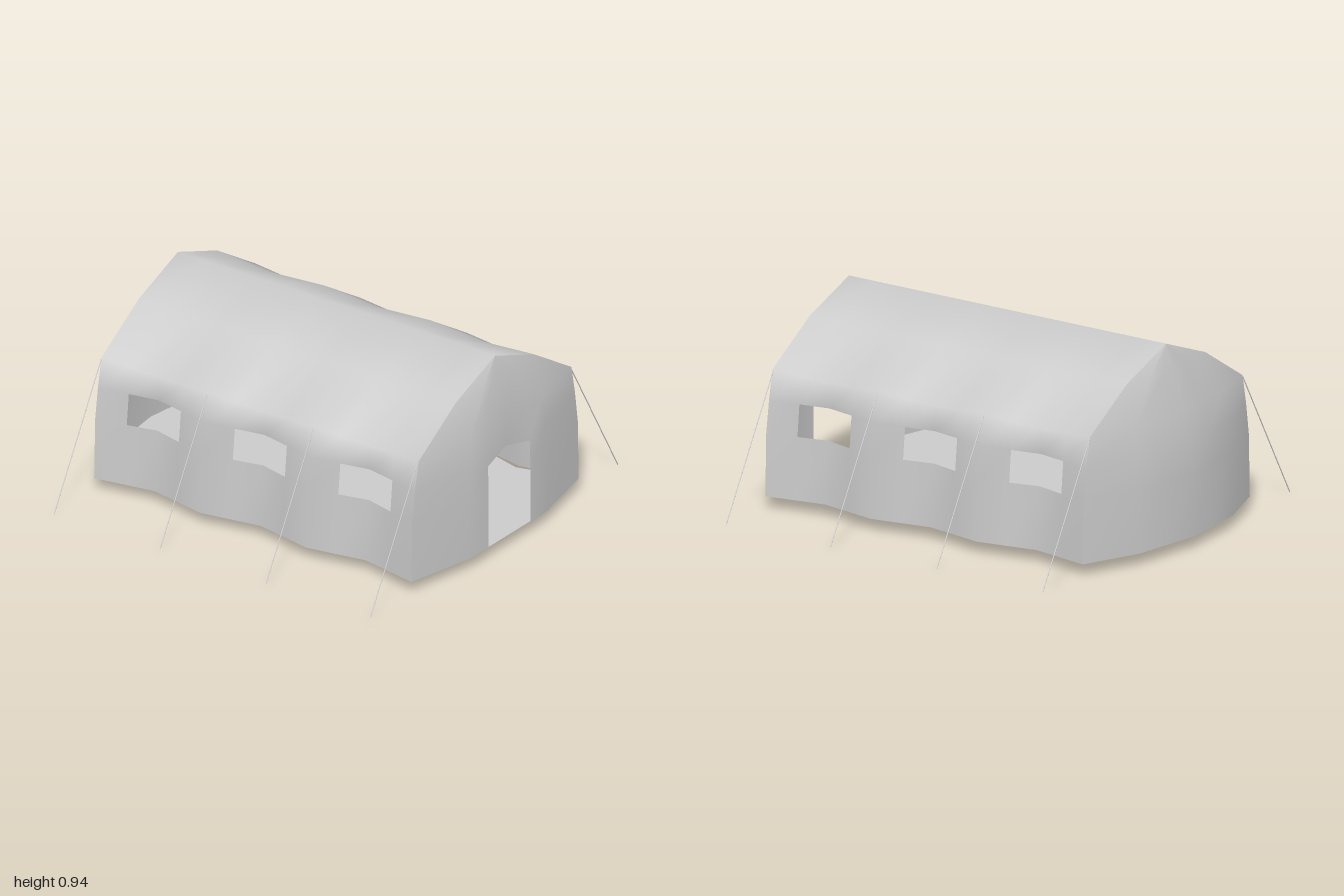
import * as THREE from 'three';

const material = new THREE.MeshStandardMaterial({ color: 0xcccccc, side: THREE.DoubleSide });
const RIBS = [-0.845, -0.255, 0.335, 0.92];
// half cross-sections from the base to the ridge, at a rib and midway between ribs
const RIB = [[0.64, 0.055], [0.633, 0.35], [0.612, 0.5], [0.585, 0.64], [0.3, 0.82], [0, 0.935]];
const SAG = [[0.585, 0.055], [0.562, 0.35], [0.553, 0.5], [0.565, 0.625], [0.29, 0.805], [0, 0.935]];

// smooth sheet through rows of points, leaving out the cells named by skip
function sheet(name, rows, skip = () => false) {
  const n = rows[0].length, index = [];
  for (let i = 0; i < rows.length - 1; i++) {
    for (let j = 0; j < n - 1; j++) {
      if (skip(i, j)) continue;
      const a = i * n + j, b = a + n;
      index.push(a, a + 1, b + 1, a, b + 1, b);
    }
  }
  const geometry = new THREE.BufferGeometry();
  geometry.setAttribute('position', new THREE.Float32BufferAttribute(rows.flat(2), 3));
  geometry.setIndex(index);
  geometry.computeVertexNormals();
  const mesh = new THREE.Mesh(geometry, material);
  mesh.name = name;
  return mesh;
}

// side walls and roof, drawn in between the ribs, with three windows a side
function makeShell() {
  const stations = [];
  for (let k = 0; k < 3; k++) {
    const a = RIBS[k], b = RIBS[k + 1], mid = (a + b) / 2, half = (b - a) / 2;
    stations.push([a, 0], [mid - 0.145, 1 - 0.145 / half], [mid, 1], [mid + 0.145, 1 - 0.145 / half]);
  }
  stations.push([RIBS[3], 0]);
  const rows = [];
  for (let i = 0; i <= 10; i++) {
    const p = i <= 5 ? i : 10 - i, side = i < 5 ? -1 : 1;
    rows.push(stations.map(([z, s]) => [
      side * THREE.MathUtils.lerp(RIB[p][0], SAG[p][0], s),
      THREE.MathUtils.lerp(RIB[p][1], SAG[p][1], s), z]));
  }
  return sheet('wallsAndRoof', rows, (i, j) => (i === 1 || i === 8) && (j % 4 === 1 || j % 4 === 2));
}

// end wall bulging out from the rim; columns are [share of half width, share of bulge]
function makeEnd(name, rim, bulge, columns, door) {
  const dir = Math.sign(rim);
  const full = [...columns.slice(1).reverse().map(([t, s]) => [-t, s]), ...columns];
  const rows = RIB.map(([w, y], i) => full.map(([t, s]) => {
    let x = t * w * dir, py = y, depth = s * bulge[i];
    if (door && i < 3) {
      if (Math.abs(t) === columns[1][0]) x = Math.sign(x) * 0.16;
      // peaked door head, pulled in a little
      if (i === 2) py = t === 0 ? 0.5 : Math.abs(t) < 0.3 ? 0.465 : y;
      if (i === 2 && t === 0) depth -= 0.018;
    }
    return [x, py, rim + dir * depth];
  }));
  return sheet(name, rows, (i, j) => door && i < 2 && (j === 2 || j === 3));
}

// ground sheet following the wall base
function makeFloor() {
  const side = [];
  RIBS.forEach((z, k) => {
    side.push([0.638, z]);
    if (k < 3) side.push([0.56, (z + RIBS[k + 1]) / 2]);
  });
  const half = [[0, -0.998], [0.36, -0.953], ...side, [0.3, 0.994], [0.16, 0.998]];
  const outline = [...half, ...half.slice(1).reverse().map(([x, z]) => [-x, z])];
  const geometry = new THREE.ShapeGeometry(new THREE.Shape(outline.map(p => new THREE.Vector2(...p))));
  geometry.rotateX(Math.PI / 2);
  const floor = new THREE.Mesh(geometry, material);
  floor.position.y = 0.058;
  floor.name = 'floor';
  return floor;
}

// guy rope from the eave down to the ground
function makeRope(side, z) {
  const top = new THREE.Vector3(side * 0.585, 0.635, z);
  const foot = new THREE.Vector3(side * 0.946, 0, z);
  const rope = new THREE.Mesh(
    new THREE.CylinderGeometry(0.0025, 0.0025, top.distanceTo(foot), 6), material);
  rope.position.copy(top).add(foot).multiplyScalar(0.5);
  rope.quaternion.setFromUnitVectors(new THREE.Vector3(0, 1, 0), top.sub(foot).normalize());
  rope.name = 'guyRope';
  return rope;
}

export function createModel() {
  const tent = new THREE.Group();
  tent.name = 'tent';
  tent.add(makeShell());
  tent.add(makeEnd('frontWall', RIBS[3], [0.08, 0.08, 0.078, 0.066, 0.035, 0],
    [[0, 1], [0.25, 1], [0.47, 0.93], [1, 0]], true));
  tent.add(makeEnd('backWall', RIBS[0], [0.155, 0.147, 0.134, 0.1, 0.045, 0],
    [[0, 1], [0.28, 0.86], [0.56, 0.71], [1, 0]], false));
  tent.add(makeFloor());
  for (const z of RIBS) for (const side of [-1, 1]) tent.add(makeRope(side, Math.min(z, 0.915)));
  return tent;
}
